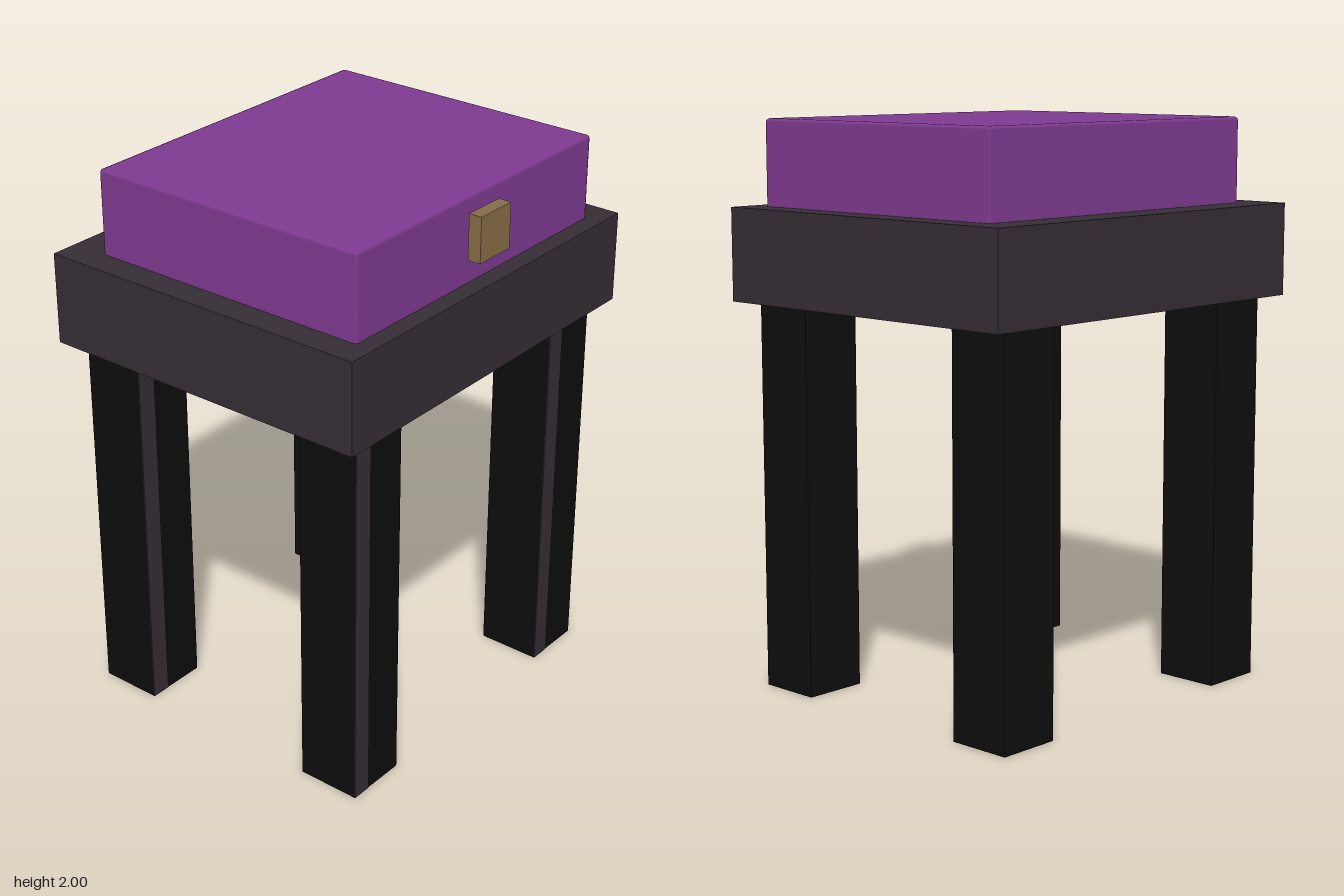
import * as THREE from 'three';
import { RoundedBoxGeometry } from 'three/addons/geometries/RoundedBoxGeometry.js';

const mat = (name, color) => {
  const m = new THREE.MeshStandardMaterial({ color });
  m.name = name;
  return m;
};

export function createModel() {
  const model = new THREE.Group();
  model.name = 'cushionedStool';

  const purple = mat('purple', 0x7e3a90);
  const charcoal = mat('charcoal', 0x352d35);
  const black = mat('black', 0x0d0d0d);
  const bronze = mat('bronze', 0x856c47);

  const add = (parent, name, geometry, material, x, y, z) => {
    const mesh = new THREE.Mesh(geometry, material);
    mesh.name = name;
    mesh.position.set(x, y, z);
    parent.add(mesh);
  };

  // Seat block
  add(model, 'seat', new THREE.BoxGeometry(1.46, 0.325, 1.26), charcoal, 0, 1.5375, 0);

  // Cushion with narrow bevels, sunk slightly into the seat
  add(model, 'cushion', new RoundedBoxGeometry(1.26, 0.32, 1.065, 1, 0.012), purple, 0, 1.84, 0.0325);

  // Badge in front of the cushion
  add(model, 'badge', new THREE.BoxGeometry(0.16, 0.16, 0.048), bronze, 0, 1.87, 0.602);

  // Four legs, each with a lighter strip on the front face
  const legGeometry = new THREE.BoxGeometry(0.23, 1.375, 0.23);
  const stripGeometry = new THREE.BoxGeometry(0.07, 1.375, 0.003);
  for (const sz of [1, -1]) {
    for (const sx of [1, -1]) {
      const leg = new THREE.Group();
      leg.name = (sz > 0 ? 'front' : 'back') + (sx > 0 ? 'Left' : 'Right') + 'Leg';
      leg.position.set(sx * 0.533, 0.6875, sz * 0.465);
      add(leg, 'legPost', legGeometry, black, 0, 0, 0);
      add(leg, 'legStrip', stripGeometry, charcoal, -0.08, 0, 0.1155);
      model.add(leg);
    }
  }

  return model;
}
